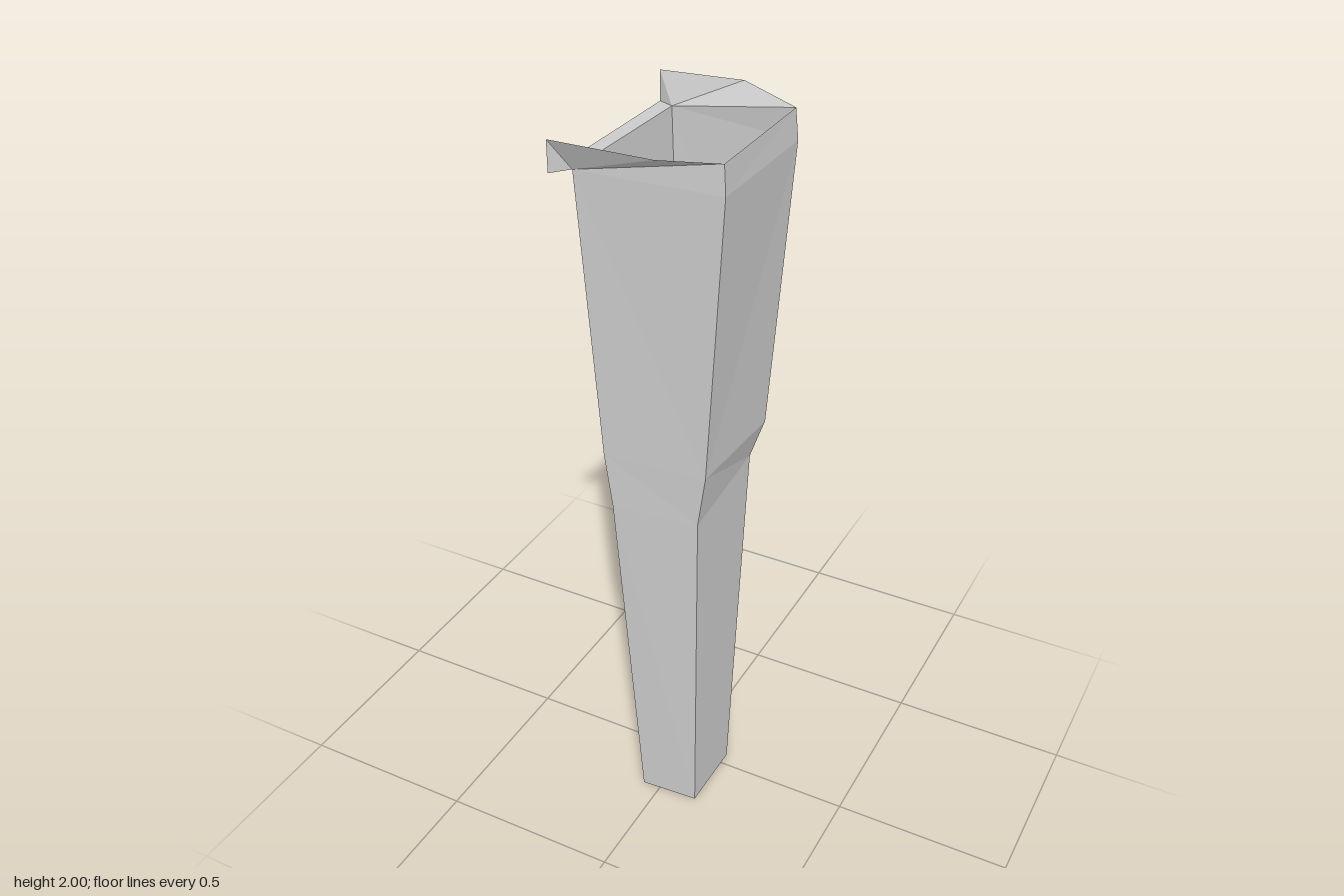
import * as THREE from 'three';

const material = new THREE.MeshStandardMaterial({ color: 0xcccccc, flatShading: true, side: THREE.DoubleSide });

// Flat-shaded mesh from a list of triangles, each three [x, y, z] corners
function facets(name, triangles) {
  const geometry = new THREE.BufferGeometry();
  geometry.setAttribute('position', new THREE.Float32BufferAttribute(triangles.flat(2), 3));
  geometry.computeVertexNormals();
  const mesh = new THREE.Mesh(geometry, material);
  mesh.name = name;
  return mesh;
}

// Four-cornered cross-sections, each: back left, back right, front right, front left (in plan)
const rings = [
  [[-0.045, 0, -0.02], [0.114, 0, -0.038], [0.112, 0, 0.168], [-0.052, 0, 0.178]],
  [[-0.105, 1.0, -0.145], [0.128, 1.04, -0.116], [0.127, 1.0, 0.187], [-0.11, 1.0, 0.208]],
  [[-0.113, 1.15, -0.175], [0.163, 1.15, -0.13], [0.15, 1.15, 0.19], [-0.13, 1.15, 0.21]],
  [[-0.167, 1.92, -0.235], [0.207, 1.92, -0.168], [0.205, 1.92, 0.212], [-0.173, 1.92, 0.232]],
];

// Which diagonal folds each wall (back, right, front, left) per level
const folds = [[0, 0, 1, 0], [0, 1, 1, 0], [0, 0, 1, 0]];

export function createModel() {
  const group = new THREE.Group();
  group.name = 'taperedChute';

  // Open tapering shaft
  const walls = [];
  for (let k = 0; k < rings.length - 1; k++) {
    for (let i = 0; i < 4; i++) {
      const j = (i + 1) % 4;
      const a = rings[k][i], b = rings[k][j], c = rings[k + 1][j], d = rings[k + 1][i];
      if (folds[k][i]) walls.push([a, c, b], [a, d, c]);
      else walls.push([a, d, b], [b, d, c]);
    }
  }
  group.add(facets('shaft', walls));

  const [backLeft, backRight, frontRight, frontLeft] = rings[3];
  const backTop = [0.2, 2, -0.165], frontTop = [0.2, 1.995, 0.21];
  const ledgeBack = [-0.21, 1.92, -0.253], ledgeFront = [-0.21, 1.92, 0.277];

  // Upright lip above the right wall
  group.add(facets('sideLip', [
    [backRight, backTop, frontRight], [frontRight, backTop, frontTop],
  ]));

  // Flat ledge along the open side
  group.add(facets('sideLedge', [
    [backLeft, frontLeft, ledgeBack], [ledgeBack, frontLeft, ledgeFront],
  ]));

  // Flared flanges at the back and front, fanned from the wall corner
  function flange(name, corner, ledge, peak, farTop, farCorner) {
    const tip = [ledge[0], 2, ledge[2]];
    group.add(facets(name, [
      [corner, ledge, tip], [corner, tip, peak], [corner, peak, farTop], [corner, farTop, farCorner],
    ]));
  }
  flange('backFlange', backLeft, ledgeBack, [0.01, 2, -0.28], backTop, backRight);
  flange('frontFlange', frontLeft, ledgeFront, [0.05, 1.99, 0.25], frontTop, frontRight);

  return group;
}
